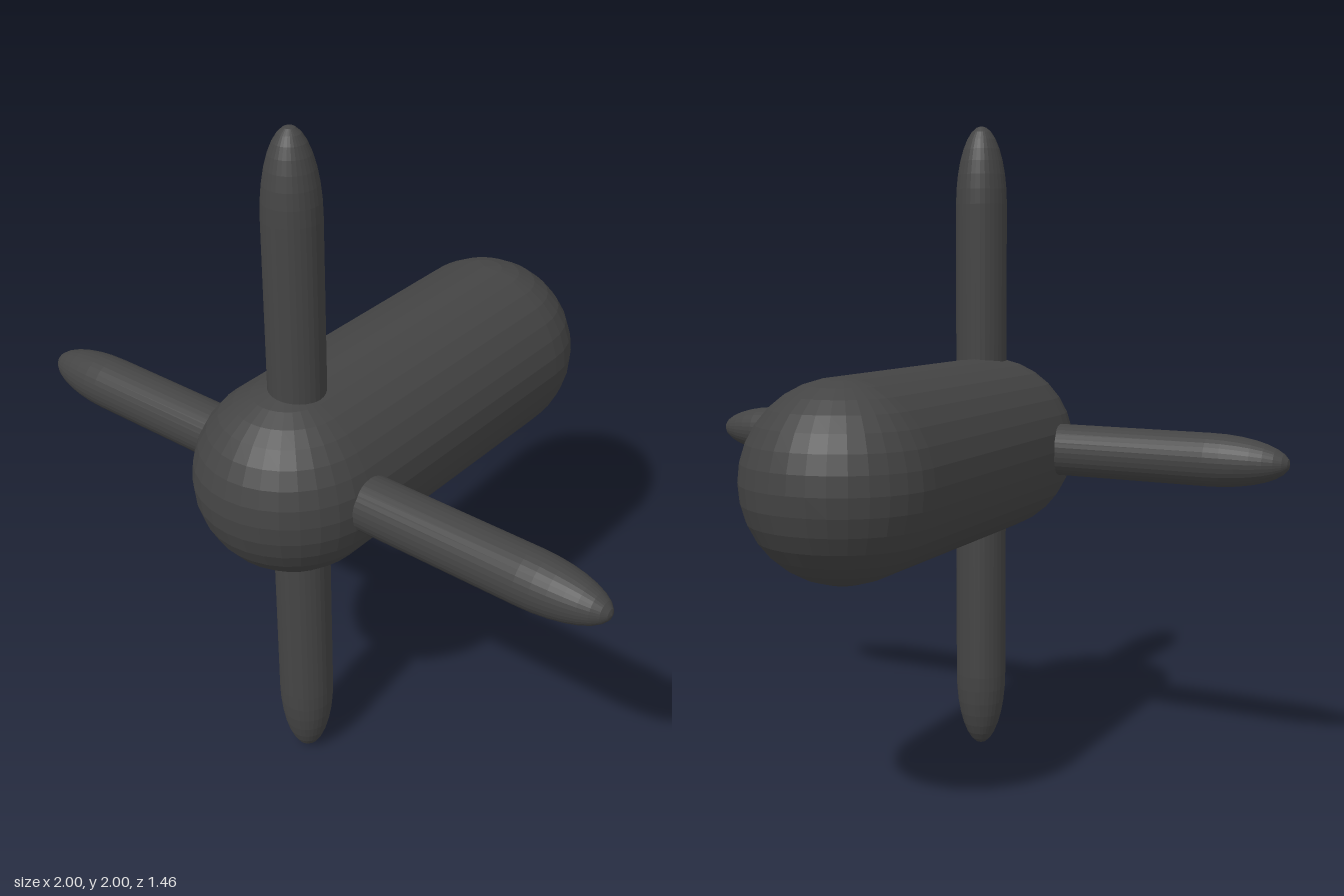
import * as THREE from 'three';

export function createModel() {
  const model = new THREE.Group();
  model.name = 'propellerPod';
  const charcoal = new THREE.MeshStandardMaterial({ color: 0x444444, flatShading: true });
  charcoal.name = 'charcoal';

  const add = (name, geometry, x, y, z) => {
    const mesh = new THREE.Mesh(geometry, charcoal);
    mesh.name = name;
    mesh.position.set(x, y, z);
    model.add(mesh);
    return mesh;
  };

  // Long body with a domed nose and tail
  const bodyX = -0.015, capZ = 0.45, noseR = 0.277, tailR = 0.282;
  add('body', new THREE.CylinderGeometry(noseR, tailR, capZ * 2, 32, 1, true), bodyX, 1, 0).rotation.x = Math.PI / 2;
  add('nose', new THREE.SphereGeometry(noseR, 32, 16), bodyX, 1, capZ);
  add('tail', new THREE.SphereGeometry(tailR, 32, 16), bodyX, 1, -capZ);

  // Round spar through the nose, with long elliptical tips
  const radius = 0.08, tip = 0.24, steps = 8;
  const profile = [];
  for (let end = -1; end <= 1; end += 2) {
    for (let i = 0; i <= steps; i++) {
      const a = (end < 0 ? steps - i : i) / steps * Math.PI / 2;
      profile.push(new THREE.Vector2(Math.max(0, radius * Math.cos(a)), end * (1 - tip + tip * Math.sin(a))));
    }
  }
  const spar = new THREE.LatheGeometry(profile, 32);

  // Two crossing spars make the four blades, each leaning slightly
  add('verticalBlades', spar, 0, 1, 0.44).rotation.x = -0.012;
  const across = add('horizontalBlades', spar, 0, 1, 0.435);
  across.rotation.set(0, -0.011, -Math.PI / 2);

  return model;
}
